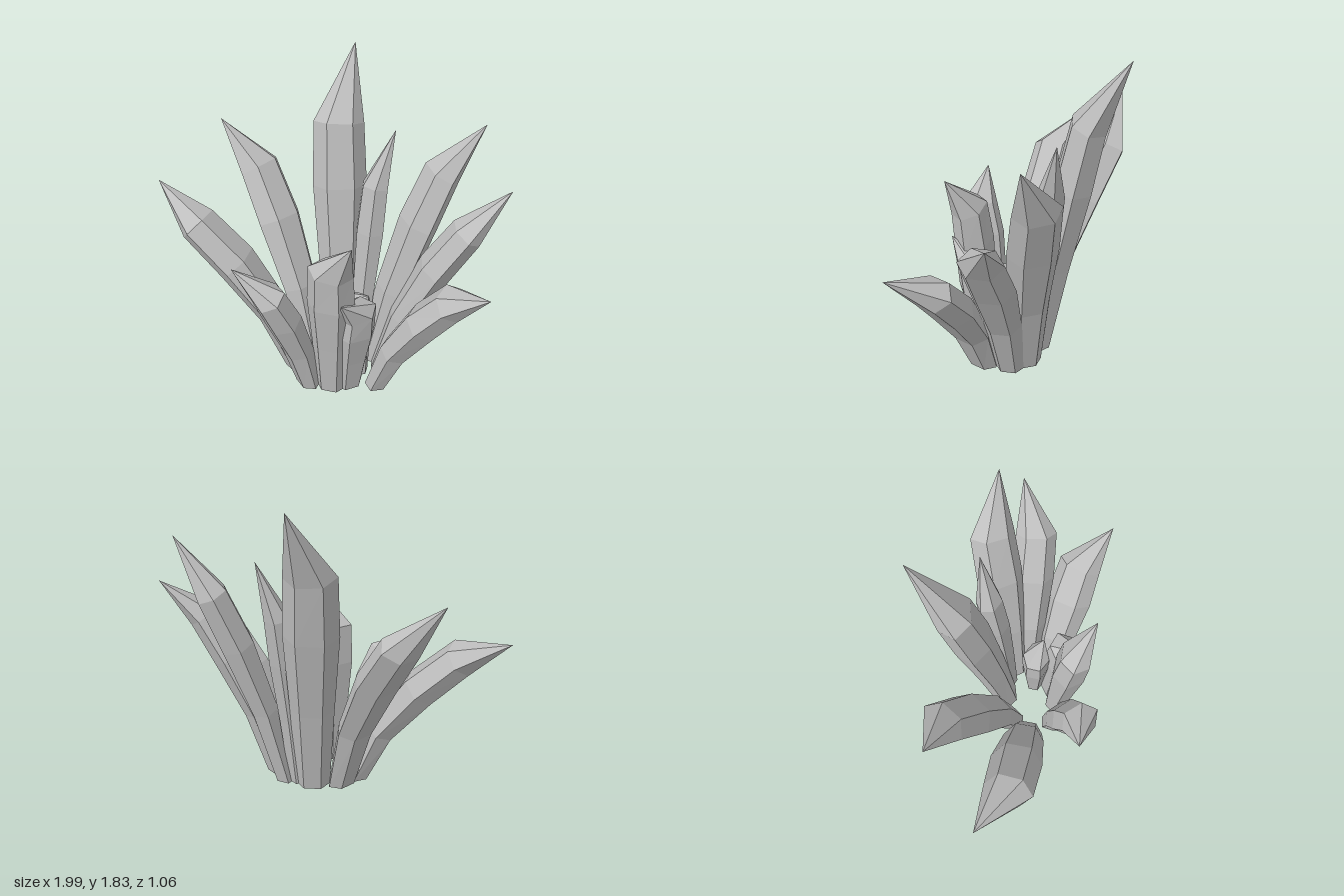
import * as THREE from 'three';

const leafGrey = new THREE.MeshStandardMaterial({ color: 0xbebebe, flatShading: true });
leafGrey.name = 'leafGrey';

const CENTRE = new THREE.Vector3(0.12, 0, 0.1);
const HEIGHTS = [0, 0.4, 0.75, 1];      // ring heights as a share of the shoulder height
const WIDTHS = [0.66, 0.83, 1, 0.92];   // width of each ring from base to shoulder

// name, base [x, z], shoulder, tip, half width, thickness ratio, bend (0 = straight)
const LEAVES = [
  ['leafLeft', [-0.14, 0.12], [-0.72, 0.91, 0.12], [-1, 1.09, 0], 0.15, 0.64, 1.1],
  ['leafBackLeft', [-0.07, 0.0], [-0.48, 1.11, -0.28], [-0.71, 1.38, -0.3], 0.145, 0.64, 1],
  ['leafBack', [0.09, -0.07], [-0.005, 1.44, -0.31], [0.03, 1.83, -0.53], 0.155, 0.64, 0.35],
  ['leafBackSmall', [0.19, -0.07], [0.24, 1.13, -0.19], [0.33, 1.46, -0.25], 0.09, 0.75, 0.4],
  ['leafBackRight', [0.28, -0.06], [0.6, 1.24, -0.25], [0.81, 1.55, -0.25], 0.14, 0.64, 0.7],
  ['leafRight', [0.355, 0.01], [0.78, 1.005, -0.03], [0.99, 1.23, -0.15], 0.13, 0.66, 0.9],
  ['leafFrontRight', [0.37, 0.17], [0.76, 0.74, 0.255], [0.96, 0.91, 0.41], 0.143, 0.64, 1],
  ['leafFrontSmall', [0.2, 0.22], [0.25, 0.59, 0.27], [0.2, 0.72, 0.42], 0.13, 0.7, 0.3],
  ['leafFront', [0.11, 0.265], [0.12, 0.88, 0.34], [0.25, 1.1, 0.42], 0.137, 0.68, 0.4],
  ['leafFrontLeft', [-0.03, 0.27], [-0.2, 0.71, 0.43], [-0.4, 0.88, 0.45], 0.13, 0.68, 0.8],
  ['leafInner', [0.22, 0.1], [0.195, 0.52, 0.1], [0.29, 0.6, 0.13], 0.09, 1.1, 0.2],
];

// A flattened six-sided blade: four rings along a bent spine, closed by a point
function bladeGeometry([bx, bz], shoulder, tipPoint, width, thickness, bend) {
  const base = new THREE.Vector3(bx, 0, bz);
  const top = new THREE.Vector3(...shoulder);
  const tip = new THREE.Vector3(...tipPoint);
  const spine = HEIGHTS.map((h) => {
    const p = base.clone().lerp(top, h - bend * 0.6 * h * (1 - h));
    p.y = top.y * h;
    return p;
  });
  spine.push(tip);

  const outward = top.clone().sub(CENTRE).setY(0).normalize();
  const side = new THREE.Vector3(outward.z, 0, -outward.x);
  const positions = [];
  for (let i = 0; i < 4; i++) {
    const along = i === 0
      ? new THREE.Vector3(0, 1, 0)
      : spine[i].clone().sub(spine[i - 1]).normalize()
        .add(spine[i + 1].clone().sub(spine[i]).normalize().multiplyScalar(i === 3 ? 0.4 : 1))
        .normalize();
    const across = side.clone().addScaledVector(along, -side.dot(along)).normalize();
    const normal = across.clone().cross(along);
    const w = width * WIDTHS[i];
    for (let k = 0; k < 6; k++) {
      const a = k * Math.PI / 3;
      const p = spine[i].clone()
        .addScaledVector(across, w * Math.cos(a))
        .addScaledVector(normal, w * thickness * Math.sin(a) / Math.sin(Math.PI / 3));
      positions.push(p.x, p.y, p.z);
    }
  }
  positions.push(...tip.toArray(), ...base.toArray());

  const index = [];
  for (let k = 0; k < 6; k++) {
    const n = (k + 1) % 6;
    for (let r = 0; r < 18; r += 6) {
      index.push(r + k, r + 6 + k, r + n, r + n, r + 6 + k, r + 6 + n);
    }
    index.push(18 + k, 24, 18 + n);   // pointed end
    index.push(k, n, 25);             // flat base
  }
  const geometry = new THREE.BufferGeometry();
  geometry.setAttribute('position', new THREE.Float32BufferAttribute(positions, 3));
  geometry.setIndex(index);
  const flat = geometry.toNonIndexed();
  flat.computeVertexNormals();
  return flat;
}

export function createModel() {
  const plant = new THREE.Group();
  plant.name = 'spikyPlant';
  for (const [name, ...shape] of LEAVES) {
    const leaf = new THREE.Mesh(bladeGeometry(...shape), leafGrey);
    leaf.name = name;
    plant.add(leaf);
  }
  return plant;
}
